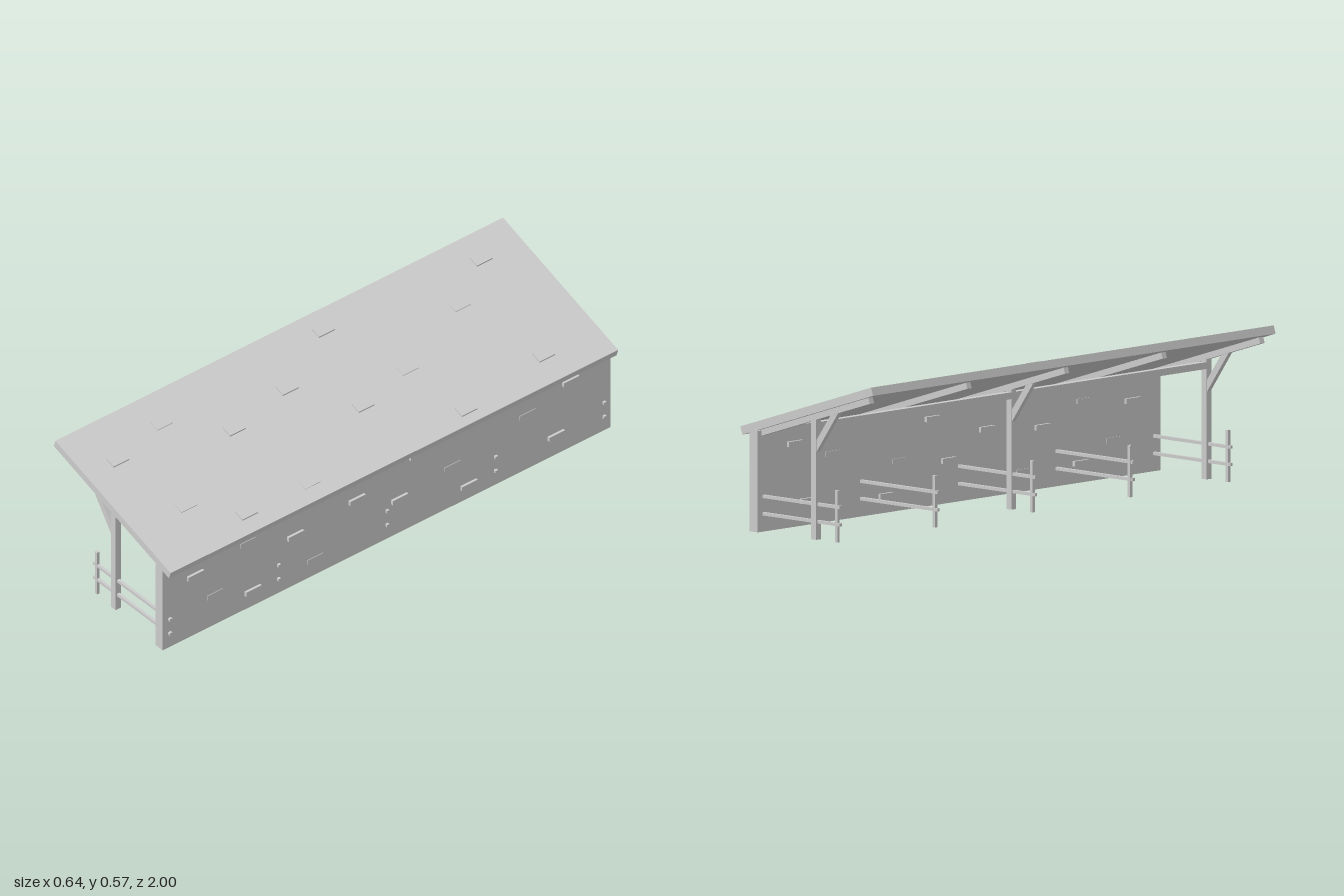
import * as THREE from 'three';

const material = new THREE.MeshStandardMaterial({ color: 0xcccccc, flatShading: true });

export function createModel() {
  const model = new THREE.Group();

  const add = (name, geometry, parent = model) => {
    const mesh = new THREE.Mesh(geometry, material);
    mesh.name = name;
    parent.add(mesh);
    return mesh;
  };

  // Box given by its x, y and z limits
  const box = (name, x0, x1, y0, y1, z0, z1, parent) => {
    const mesh = add(name, new THREE.BoxGeometry(x1 - x0, y1 - y0, z1 - z0), parent);
    mesh.position.set((x0 + x1) / 2, (y0 + y1) / 2, (z0 + z1) / 2);
    return mesh;
  };

  // Outline in the xy plane, extruded around a z position
  const plank = (name, points, z, width, parent) => {
    const shape = new THREE.Shape(points.map(([x, y]) => new THREE.Vector2(x, y)));
    const geometry = new THREE.ExtrudeGeometry(shape, { depth: width, bevelEnabled: false });
    const mesh = add(name, geometry, parent);
    mesh.position.z = z - width / 2;
    return mesh;
  };

  // Back wall
  box('wall', 0.237, 0.277, 0, 0.355, -1, 1);

  // Sloping roof: its own group, with local y = 0 on the upper surface
  const roof = new THREE.Group();
  roof.name = 'roof';
  roof.position.set(0.005, 0.464, 0);
  const slope = Math.atan(0.3206);
  roof.rotation.z = -slope;
  model.add(roof);
  const half = 0.331;
  box('roofSlab', -half, half, -0.0295, 0, -1, 1, roof);

  // Raised roof shingles and wall bricks: [z, x on roof, raised]
  const blocks = [
    [0.857, -0.145, true], [0.62, -0.195, false], [0.41, -0.055, true],
    [0.135, -0.102, true], [-0.135, -0.235, true], [-0.82, -0.21, true],
    [-0.63, -0.095, false], [0.767, 0.118, false], [0.6, 0.245, true],
    [0.32, 0.245, false], [-0.055, 0.08, true], [-0.295, 0.03, false],
    [-0.365, 0.264, true], [-0.755, 0.212, true],
  ];
  for (const [z, x, raised] of blocks) {
    const u = (x - 0.005) / Math.cos(slope);
    box('shingle', u - 0.021, u + 0.021, -0.01, raised ? 0.0065 : 0.003, z - 0.035, z + 0.035, roof);
    const y = 0.19 - 0.49 * x;
    const depth = raised ? 0.03 : 0.0225;
    box('brick', 0.257 - depth, 0.257 + depth, y - 0.009, y + 0.009, z - 0.035, z + 0.035);
  }

  // Purlin along the tops of the posts
  box('purlin', -0.027, -0.003, 0.387, 0.411, -0.97, 0.97);

  // Five frames: a rafter and a low fence each, with a braced post on every other one
  [-0.97, -0.485, 0, 0.485, 0.97].forEach((z, i) => {
    const frame = new THREE.Group();
    frame.name = 'frame';
    model.add(frame);

    plank('rafter', [[-0.285, 0.503], [0.289, 0.32], [0.298, 0.347], [-0.276, 0.53]], z, 0.022, frame);

    for (const y of [0.0625, 0.1235]) {
      box('rail', -0.135, 0.287, y - 0.0055, y + 0.0055, z - 0.0055, z + 0.0055, frame);
    }
    box('fencePost', -0.124, -0.112, 0, 0.182, z - 0.006, z + 0.006, frame);

    if (i % 2 === 0) {
      box('post', -0.027, -0.003, 0, 0.425, z - 0.012, z + 0.012, frame);
      plank('brace', [[-0.13, 0.453], [-0.027, 0.308], [-0.027, 0.35], [-0.094, 0.443]], z, 0.018, frame);
    }
  });

  return model;
}
